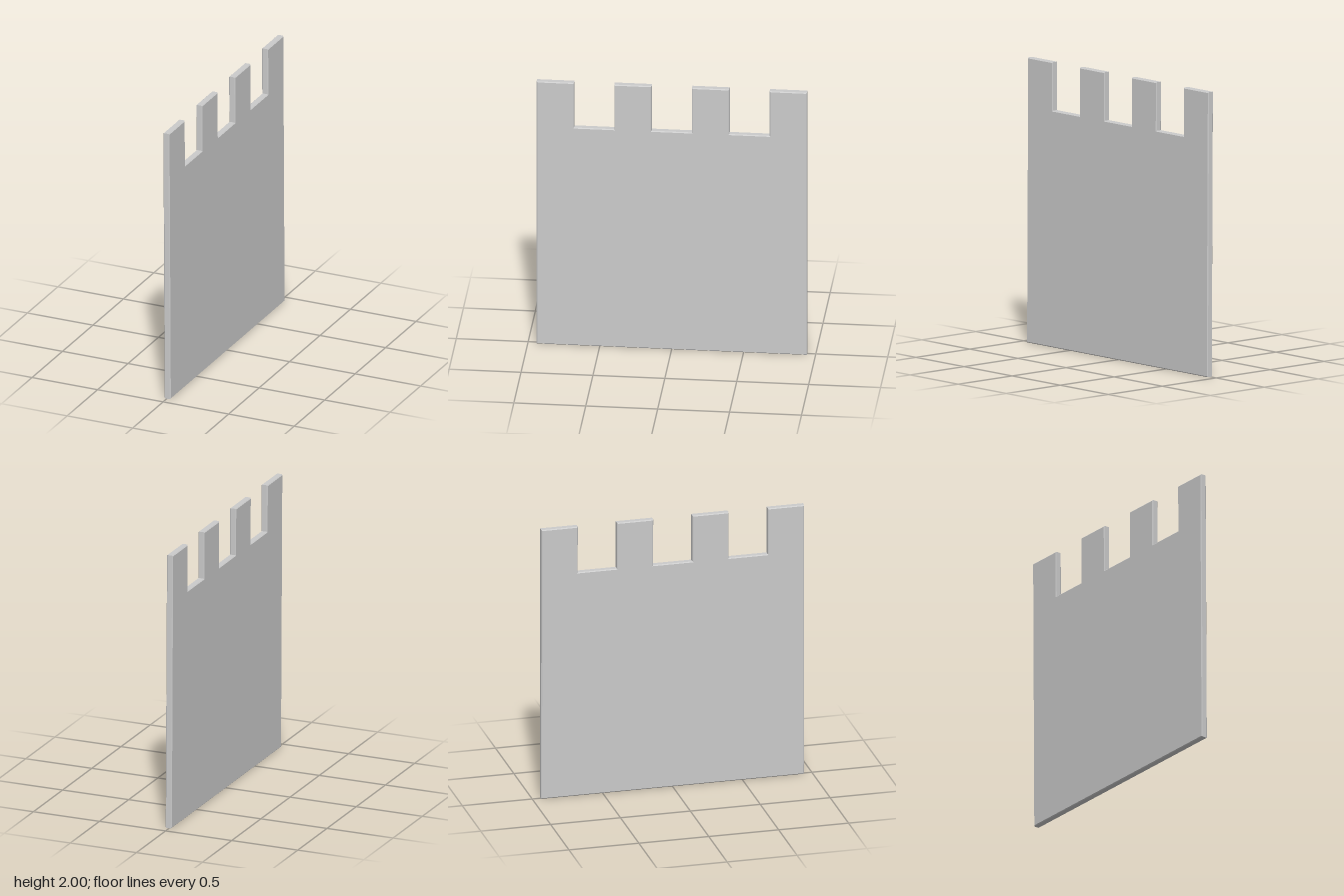
import * as THREE from 'three';

const HALF_WIDTH = 0.94, HEIGHT = 2, NOTCH_FLOOR = 1.66;
const THICKNESS = 0.047, BEVEL = 0.006, LEAN = 0.01;

// Panel outline with three square notches along the top (u runs along z)
function panelOutline() {
  const shape = new THREE.Shape();
  shape.moveTo(-HALF_WIDTH, 0);
  shape.lineTo(HALF_WIDTH, 0);
  shape.lineTo(HALF_WIDTH, HEIGHT);
  for (const [right, left] of [[0.68, 0.4], [0.14, -0.14], [-0.4, -0.68]]) {
    shape.lineTo(right, HEIGHT);
    shape.lineTo(right, NOTCH_FLOOR);
    shape.lineTo(left, NOTCH_FLOOR);
    shape.lineTo(left, HEIGHT);
  }
  shape.lineTo(-HALF_WIDTH, HEIGHT);
  shape.closePath();
  return shape;
}

export function createModel() {
  const group = new THREE.Group();
  group.name = 'battlementWall';

  // Thin slab with chamfered rims on both faces
  const depth = THICKNESS - 2 * BEVEL;
  const geometry = new THREE.ExtrudeGeometry(panelOutline(), {
    depth, bevelEnabled: true, bevelThickness: BEVEL,
    bevelSize: BEVEL, bevelOffset: -BEVEL, bevelSegments: 1,
  });
  geometry.translate(0, 0, -depth / 2);
  geometry.rotateY(-Math.PI / 2);

  // Slight lean toward -x with height
  const pos = geometry.attributes.position;
  for (let i = 0; i < pos.count; i++) {
    pos.setX(i, pos.getX(i) + LEAN * (0.5 - pos.getY(i) / HEIGHT));
  }
  geometry.computeVertexNormals();

  const panel = new THREE.Mesh(
    geometry,
    new THREE.MeshStandardMaterial({ color: 0xcccccc, flatShading: true })
  );
  panel.name = 'notchedPanel';
  group.add(panel);
  return group;
}
